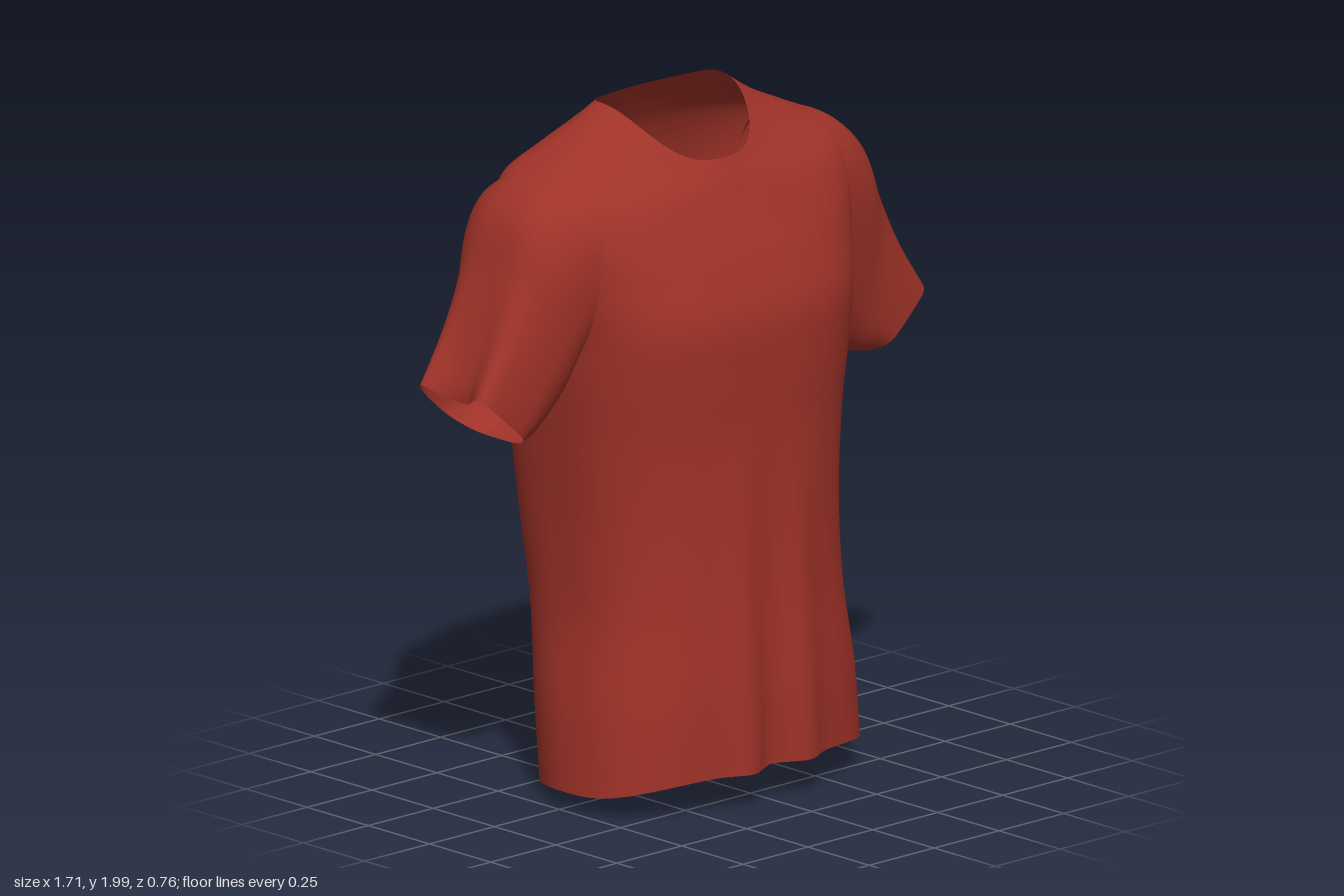
import * as THREE from 'three';

const cloth = new THREE.MeshStandardMaterial({ color: 0x9f3228, side: THREE.DoubleSide });
cloth.name = 'red cloth';

const spow = (v, p) => Math.sign(v) * Math.abs(v) ** p;
const bump = (v, width) => Math.exp(-((v / width) ** 2));

// Smooth interpolation through a list of section rows, t in 0..1
function sectionAt(rows, t) {
  const f = t * (rows.length - 1);
  const i = Math.min(Math.floor(f), rows.length - 2);
  const k = f - i;
  const row = (n) => rows[THREE.MathUtils.clamp(n, 0, rows.length - 1)];
  return rows[i].map((b, c) => {
    const a = row(i - 1)[c], d = row(i + 1)[c], e = row(i + 2)[c];
    return b + 0.5 * k * (d - a + k * (2 * a - 5 * b + 4 * d - e + k * (3 * (b - d) + e - a)));
  });
}

// Closed-around, open-ended cloth tube from a function (t, angle) => [x, y, z];
// faces whose first corner lies in a hole are left out
function loft(name, steps, sides, point, inHole = () => false) {
  const pos = [], index = [];
  for (let j = 0; j <= steps; j++) {
    for (let i = 0; i < sides; i++) pos.push(...point(j / steps, (i / sides) * Math.PI * 2));
  }
  for (let j = 0; j < steps; j++) {
    for (let i = 0; i < sides; i++) {
      const a = j * sides + i, b = j * sides + ((i + 1) % sides);
      if (inHole(pos[a * 3], pos[a * 3 + 1], pos[a * 3 + 2])) continue;
      index.push(a, a + sides, b, b, a + sides, b + sides);
    }
  }
  const geo = new THREE.BufferGeometry();
  geo.setAttribute('position', new THREE.Float32BufferAttribute(pos, 3));
  geo.setIndex(index);
  geo.computeVertexNormals();
  const mesh = new THREE.Mesh(geo, cloth);
  mesh.name = name;
  return mesh;
}

// Half width, z front / side / back, y front / side / back, roundness front / back
const torsoRows = [
  [0.50, 0.345, 0.02, -0.352, 0.11, 0.06, 0.005, 0.72, 1.08],
  [0.485, 0.345, 0.01, -0.36, 0.32, 0.29, 0.27, 0.74, 0.95],
  [0.452, 0.335, 0.00, -0.368, 0.56, 0.55, 0.54, 0.78, 0.78],
  [0.455, 0.33, -0.01, -0.377, 0.80, 0.80, 0.80, 0.84, 0.64],
  [0.475, 0.328, -0.02, -0.384, 1.05, 1.05, 1.05, 0.84, 0.58],
  [0.495, 0.333, -0.03, -0.388, 1.26, 1.25, 1.25, 0.78, 0.57],
  [0.51, 0.328, -0.06, -0.386, 1.42, 1.41, 1.42, 0.71, 0.58],
  [0.54, 0.28, -0.09, -0.376, 1.56, 1.56, 1.58, 0.68, 0.60],
  [0.565, 0.235, -0.10, -0.353, 1.66, 1.71, 1.71, 0.68, 0.64],
  [0.545, 0.198, -0.11, -0.32, 1.74, 1.815, 1.81, 0.72, 0.70],
  [0.45, 0.18, -0.12, -0.285, 1.78, 1.868, 1.875, 0.80, 0.80],
  [0.33, 0.162, -0.125, -0.245, 1.81, 1.925, 1.935, 0.88, 0.90],
  [0.23, 0.145, -0.125, -0.21, 1.84, 1.99, 1.975, 0.94, 0.98],
];

function torsoPoint(t, angle) {
  const [w, zF, zS, zB, yF, yS, yB, pF, pB] = sectionAt(torsoRows, t);
  const c = Math.cos(angle), s = Math.sin(angle);
  const front = s > 0;
  const p = front ? pF : pB;
  const x = w * spow(c, p);
  let z = zS + Math.abs((front ? zF : zB) - zS) * spow(s, p);
  const y = yS + ((front ? yF : yB) - yS) * (1 - Math.abs(c) ** 3);
  // Two hanging folds in front, a shallow hollow down the back
  const drop = Math.max(0, 1 - y / 1.1);
  if (front) z += drop * (0.045 * bump(Math.abs(x) - 0.11, 0.065) - 0.015 * bump(x, 0.05)) * s;
  else z += 0.018 * bump(x, 0.12) * -s * THREE.MathUtils.clamp((1.8 - y) / 0.5, 0, 1);
  return [x, y, z];
}

// Opening in the torso under each sleeve
const inArmhole = (x, y, z) =>
  Math.abs(x) > 0.42 && ((z + 0.085) / 0.195) ** 2 + ((y - 1.56) / 0.225) ** 2 < 1;

// Top x, y; bottom x, y; z front, z back
const sleeveRows = [
  [0.48, 1.848, 0.455, 1.36, 0.155, -0.305],
  [0.565, 1.818, 0.485, 1.29, 0.137, -0.318],
  [0.645, 1.742, 0.52, 1.21, 0.117, -0.285],
  [0.702, 1.605, 0.57, 1.15, 0.095, -0.25],
  [0.78, 1.45, 0.62, 1.115, 0.085, -0.235],
  [0.88, 1.298, 0.665, 1.105, 0.08, -0.225],
];

function sleevePoint(t, angle, side) {
  const [tx, ty, bx, by, zF, zB] = sectionAt(sleeveRows, t);
  const a = side > 0 ? angle : Math.PI - angle;
  const c = Math.cos(a), s = Math.sin(a);
  const p = 0.85 - 0.2 * t;
  let h = 0.5 + 0.5 * spow(s, p);
  // Sag in the top of the cuff, and soft pleats along the sleeve
  if (s > 0) h -= 0.3 * t ** 4 * bump(c, 0.45);
  const pleat = 1 + 0.025 * Math.sin(a * 5 + t * 4) * t;
  const z = (zF + zB) / 2 + ((zF - zB) / 2) * spow(c, p) * pleat;
  return [side * (bx + (tx - bx) * h), by + (ty - by) * h, z];
}

export function createModel() {
  const shirt = new THREE.Group();
  shirt.name = 'shirt';
  shirt.add(loft('torso', 84, 128, torsoPoint, inArmhole));
  for (const side of [1, -1]) {
    const name = side > 0 ? 'leftSleeve' : 'rightSleeve';
    shirt.add(loft(name, 30, 56, (t, a) => sleevePoint(t, a, side)));
  }
  return shirt;
}
